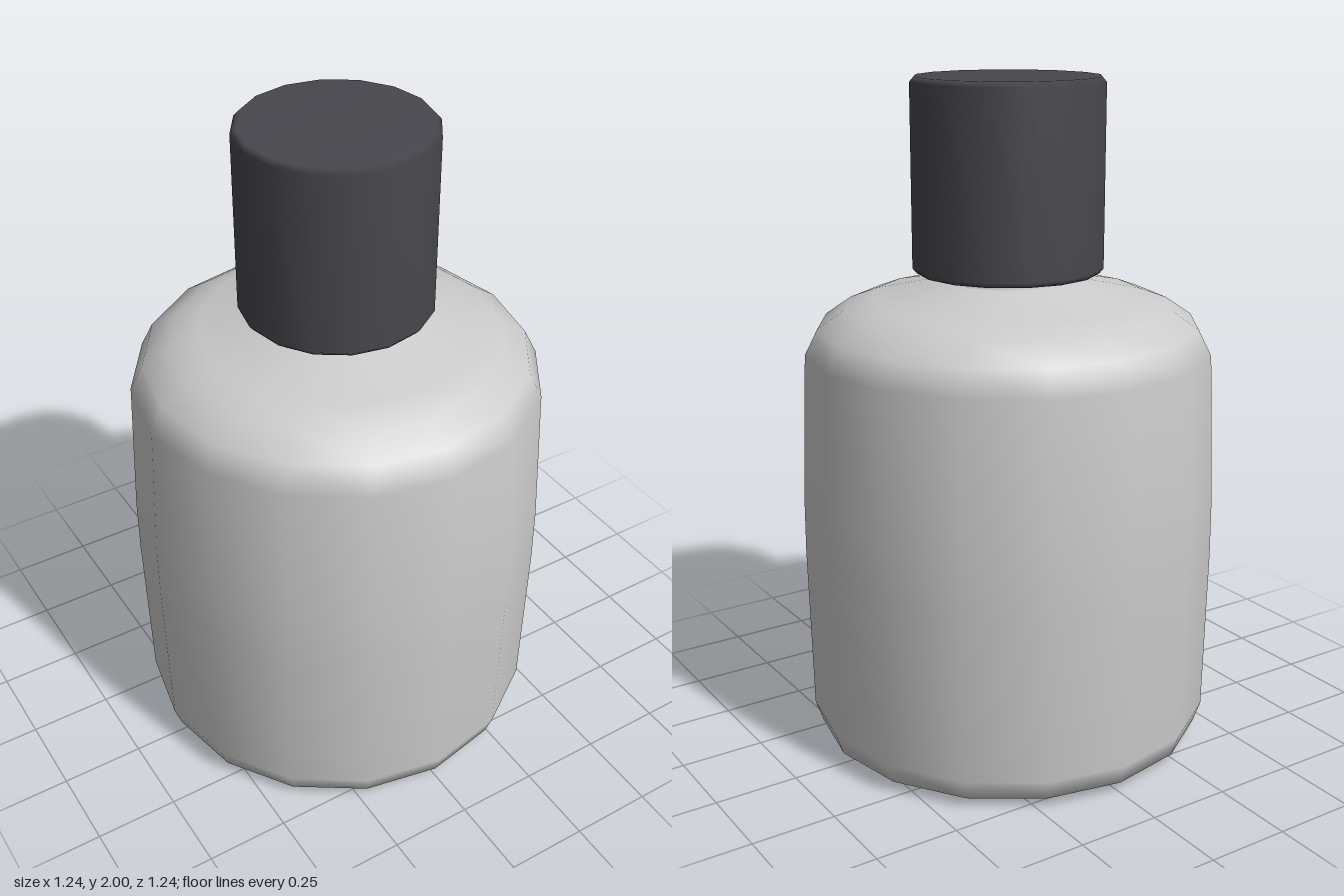
import * as THREE from 'three';

const SIDES = 16;

// Turn a [radius, height] profile, listed bottom to top, around the y axis
function turned(name, profile, color) {
  const points = profile.map(([r, y]) => new THREE.Vector2(r, y));
  const mesh = new THREE.Mesh(
    new THREE.LatheGeometry(points, SIDES),
    new THREE.MeshStandardMaterial({ color })
  );
  mesh.name = name;
  return mesh;
}

export function createModel() {
  const group = new THREE.Group();
  group.name = 'bottle';

  // Body with rounded base, slight belly, sloping shoulder and neck
  group.add(turned('bottleBody', [
    [0, 0], [0.535, 0], [0.59, 0.032], [0.612, 0.095],
    [0.622, 0.6], [0.621, 0.78], [0.603, 1.21],
    [0.565, 1.285], [0.485, 1.34], [0.405, 1.37],
    [0.19, 1.415], [0.185, 1.43], [0.185, 1.6], [0, 1.6],
  ], 0xcccccc));

  // Cap with small bevels at both rims
  group.add(turned('cap', [
    [0, 1.44], [0.27, 1.44], [0.283, 1.455],
    [0.283, 1.985], [0.27, 2], [0, 2],
  ], 0x48474d));

  return group;
}
